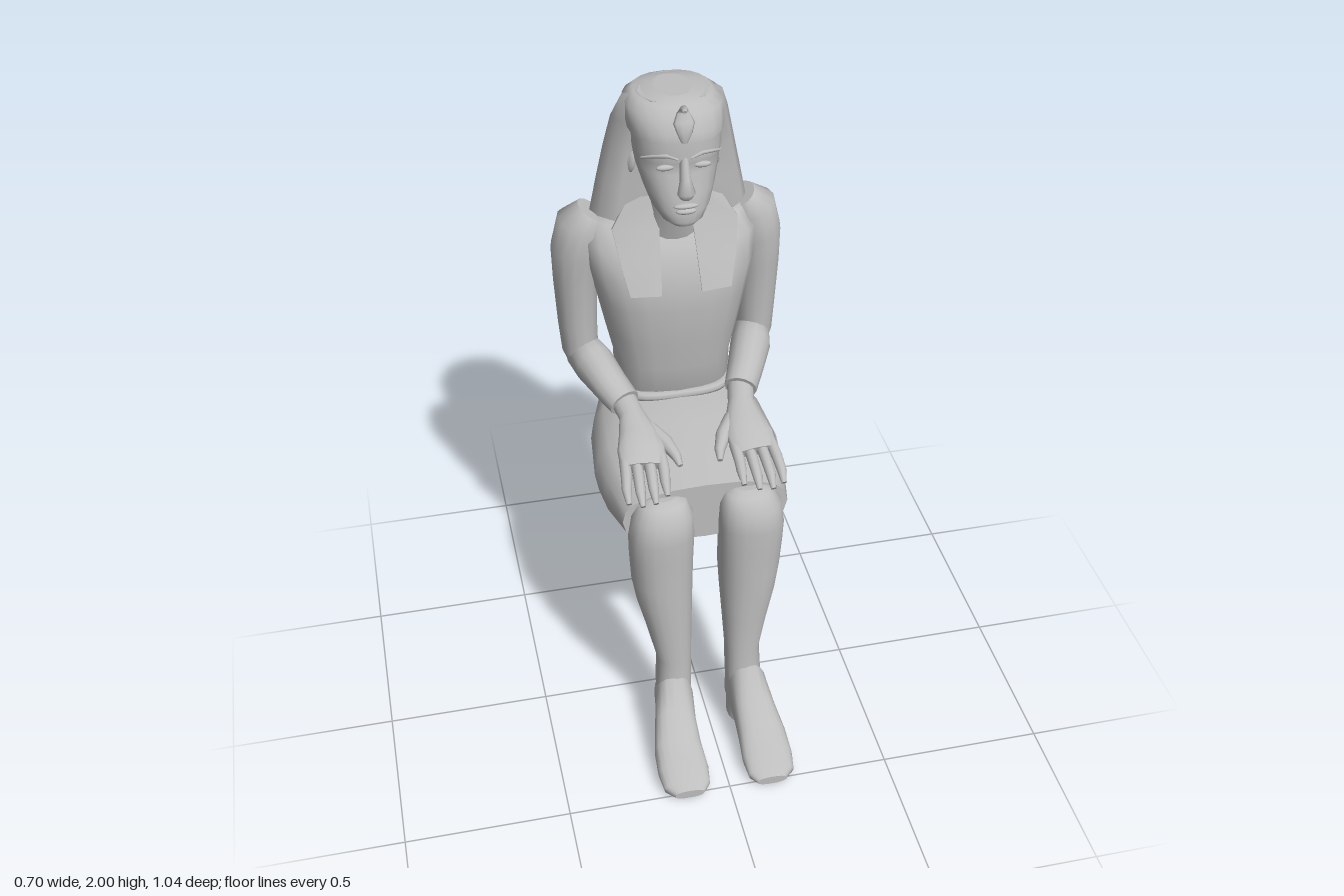
import * as THREE from 'three';

const stone = new THREE.MeshStandardMaterial({ color: 0xbdbdbd, side: THREE.DoubleSide });
stone.name = 'grey stone';

const V = (x, y, z) => new THREE.Vector3(x, y, z);
const spow = (v, e) => Math.sign(v) * Math.abs(v) ** e;

// Skin a list of rings and close both ends, always facing outwards
function loft(name, rings) {
  const n = rings[0].length, pos = [], idx = [];
  rings.forEach(r => r.forEach(p => pos.push(p.x, p.y, p.z)));
  for (let i = 0; i < rings.length - 1; i++)
    for (let j = 0; j < n; j++) {
      const a = i * n + j, b = i * n + (j + 1) % n;
      idx.push(a, b, b + n, a, b + n, a + n);
    }
  [rings[0], rings[rings.length - 1]].forEach((r, k) => {
    const base = pos.length / 3, c = V(0, 0, 0);
    r.forEach(p => { pos.push(p.x, p.y, p.z); c.addScaledVector(p, 1 / n); });
    pos.push(c.x, c.y, c.z);
    for (let j = 0; j < n; j++) {
      const a = base + j, b = base + (j + 1) % n;
      if (k) idx.push(a, b, base + n); else idx.push(b, a, base + n);
    }
  });
  const at = i => V(pos[3 * i], pos[3 * i + 1], pos[3 * i + 2]);
  let volume = 0;
  for (let i = 0; i < idx.length; i += 3) volume += at(idx[i]).dot(at(idx[i + 1]).cross(at(idx[i + 2])));
  if (volume < 0) idx.reverse();
  const g = new THREE.BufferGeometry();
  g.setAttribute('position', new THREE.Float32BufferAttribute(pos, 3));
  g.setIndex(idx);
  g.computeVertexNormals();
  const mesh = new THREE.Mesh(g, stone);
  mesh.name = name;
  return mesh;
}

// Rounded ring spanning a0..a1 by b0..b1, handed to a placing function
function ring(a0, a1, b0, b1, place, e = 0.85, n = 20) {
  return Array.from({ length: n }, (_, i) => {
    const t = i / n * Math.PI * 2;
    return place((a0 + a1) / 2 + (a1 - a0) / 2 * spow(Math.cos(t), e),
      (b0 + b1) / 2 + (b1 - b0) / 2 * spow(Math.sin(t), e));
  });
}
// rows: [y, x0, x1, z0, z1]
const upright = (name, rows, s = 1, e) => loft(name, rows.map(([y, x0, x1, z0, z1]) =>
  ring(x0, x1, z0, z1, (x, z) => V(s * x, y, z), e)));
// rows: [z, x0, x1, y0, y1]
const forward = (name, rows, s = 1, e) => loft(name, rows.map(([z, x0, x1, y0, y1]) =>
  ring(x0, x1, y0, y1, (x, y) => V(s * x, y, z), e)));
// rows: [x, y, z, radius across, radius in depth]
function limb(name, rows, s = 1, n = 14) {
  const p = rows.map(r => V(s * r[0], r[1], r[2]));
  return loft(name, rows.map((r, i) => {
    const t = p[Math.min(i + 1, p.length - 1)].clone().sub(p[Math.max(i - 1, 0)]).normalize();
    const v = t.clone().cross(V(1, 0, 0)).normalize(), u = v.clone().cross(t);
    return ring(-r[3], r[3], -r[4], r[4], (a, b) => p[i].clone().addScaledVector(u, a).addScaledVector(v, b), 1, n);
  }));
}
function blob(name, x, y, z, rx, ry, rz) {
  const m = new THREE.Mesh(new THREE.SphereGeometry(1, 14, 10), stone);
  m.name = name;
  m.position.set(x, y, z);
  m.scale.set(rx, ry, rz);
  return m;
}
const sym = ([y, w, zf, zb]) => [y, -w, w, zb, zf];

function createModel() {
  const statue = new THREE.Group();
  statue.name = 'seatedStatue';
  const add = (...m) => statue.add(...m);

  // Body, with a shallow groove down the spine
  const torso = upright('torso', [
    [0.84, 0.15, -0.3, -0.46], [0.98, 0.175, -0.22, -0.485], [1.1, 0.178, -0.205, -0.495],
    [1.2, 0.2, -0.19, -0.505], [1.32, 0.225, -0.18, -0.515], [1.42, 0.25, -0.185, -0.523],
    [1.51, 0.26, -0.22, -0.51], [1.565, 0.23, -0.27, -0.485], [1.59, 0.12, -0.3, -0.45]].map(sym), 1, 0.75);
  const tp = torso.geometry.attributes.position;
  for (let i = 0; i < tp.count; i++)
    if (tp.getZ(i) < -0.4 && Math.abs(tp.getX(i)) < 0.04) tp.setZ(i, tp.getZ(i) + 0.02);
  torso.geometry.computeVertexNormals();
  add(torso);

  // Kilt over lap and seat
  add(forward('kilt', [
    [-0.485, 0.1, 0.77, 0.87], [-0.465, 0.17, 0.735, 0.95], [-0.42, 0.22, 0.705, 0.99],
    [-0.27, 0.272, 0.66, 1.0], [-0.1, 0.29, 0.66, 0.975], [0.0, 0.28, 0.675, 0.955],
    [0.15, 0.25, 0.73, 0.925]].map(([z, w, b, t]) => [z, -w, w, b, t]), 1, 0.8));
  // Waistband, sagging in two folds at the back
  const band = new THREE.CatmullRomCurve3([[0, 0.995, -0.22], [0.13, 0.995, -0.24], [0.19, 0.99, -0.35],
    [0.175, 0.94, -0.45], [0.1, 0.86, -0.485], [0, 0.9, -0.485], [-0.1, 0.86, -0.485], [-0.175, 0.94, -0.45],
    [-0.19, 0.99, -0.35], [-0.13, 0.995, -0.24]].map(p => V(...p)), true);
  const belt = new THREE.Mesh(new THREE.TubeGeometry(band, 60, 0.016, 8, true), stone);
  belt.name = 'waistband';
  add(belt);

  // Neck and face
  add(upright('neck', [[1.53, 0.1, -0.24, -0.42], [1.62, 0.075, -0.215, -0.38], [1.72, 0.075, -0.19, -0.38]].map(sym), 1, 1));
  add(upright('face', [
    [1.645, 0.035, -0.115, -0.19], [1.66, 0.06, -0.106, -0.23], [1.69, 0.082, -0.108, -0.28],
    [1.74, 0.1, -0.114, -0.32], [1.8, 0.117, -0.13, -0.35], [1.83, 0.122, -0.132, -0.36],
    [1.85, 0.125, -0.124, -0.36], [1.93, 0.128, -0.135, -0.36]].map(sym), 1, 0.88));
  add(limb('nose', [[0, 1.85, -0.135, 0.012, 0.012], [0, 1.79, -0.118, 0.016, 0.02],
    [0, 1.755, -0.105, 0.026, 0.024], [0, 1.742, -0.112, 0.02, 0.016]], 1, 10));
  add(blob('upperLip', 0, 1.713, -0.11, 0.036, 0.008, 0.012), blob('lowerLip', 0, 1.697, -0.109, 0.03, 0.009, 0.012));

  // Headdress: cloth flaring down behind the ears
  const outline = [[0, 1], [0.33, 0.96], [0.62, 0.82], [0.86, 0.62], [1, 0.4], [0.92, 0.2], [0.72, 0]];
  const full = [...outline, ...outline.slice(1).reverse().map(([x, d]) => [-x, d])];
  add(loft('headdressCloth', [
    [1.59, 0.233, -0.275, -0.495, 0.06], [1.7, 0.211, -0.27, -0.485, 0.03], [1.8, 0.19, -0.265, -0.472, 0],
    [1.9, 0.168, -0.25, -0.452, 0], [1.965, 0.145, -0.22, -0.425, 0], [1.988, 0.1, -0.21, -0.39, 0]]
    .map(([y, w, zf, zb, drop]) => full.map(([x, d]) => V(x * w, y - drop * Math.max(0, d - 0.4), zf + (zb - zf) * d)))));
  add(upright('headdressCap', [[1.895, 0.134, -0.125, -0.4], [1.92, 0.137, -0.128, -0.41],
    [1.965, 0.138, -0.15, -0.42], [1.985, 0.11, -0.175, -0.4], [1.993, 0.05, -0.22, -0.36]].map(sym), 1, 0.85));
  // Rearing brow ornament
  add(limb('browOrnament', [[0, 1.9, -0.126, 0.01, 0.008], [0, 1.93, -0.124, 0.022, 0.01],
    [0, 1.955, -0.132, 0.03, 0.009], [0, 1.98, -0.145, 0.018, 0.008], [0, 1.997, -0.135, 0.01, 0.008],
    [0, 1.992, -0.12, 0.006, 0.005]], 1, 10));

  for (const s of [1, -1]) {
    const side = s > 0 ? 'left' : 'right';
    // Face details
    add(blob(side + 'Eye', s * 0.052, 1.822, -0.139, 0.026, 0.009, 0.01));
    add(limb(side + 'Brow', [[0.018, 1.85, -0.127, 0.004, 0.004], [0.05, 1.862, -0.13, 0.006, 0.006],
      [0.085, 1.856, -0.146, 0.005, 0.005], [0.112, 1.842, -0.175, 0.003, 0.003]], s, 8));
    const ear = blob(side + 'Ear', s * 0.128, 1.8, -0.285, 0.014, 0.055, 0.03);
    ear.rotation.set(-0.2, s * -0.5, 0);
    add(ear);

    // Headdress lappet lying on the chest
    add(loft(side + 'Lappet', [[1.665, 0.06, 0.13, -0.265], [1.575, 0.05, 0.185, -0.245],
      [1.48, 0.055, 0.17, -0.2], [1.39, 0.06, 0.15, -0.165]].map(([y, a, b, z]) =>
      [V(s * a, y, z), V(s * b, y, z - 0.012), V(s * b, y, z - 0.022), V(s * a, y, z - 0.01)])));

    // Arm, bent at the elbow
    add(limb(side + 'UpperArm', [[0.225, 1.575, -0.385, 0.045, 0.06], [0.25, 1.535, -0.385, 0.08, 0.085],
      [0.272, 1.45, -0.39, 0.078, 0.085], [0.28, 1.35, -0.39, 0.067, 0.076], [0.279, 1.2, -0.394, 0.06, 0.068],
      [0.275, 1.1, -0.39, 0.056, 0.066], [0.268, 1.045, -0.375, 0.04, 0.05]], s));
    add(limb(side + 'Forearm', [[0.272, 1.085, -0.43, 0.03, 0.03], [0.268, 1.085, -0.39, 0.056, 0.068],
      [0.245, 1.08, -0.31, 0.062, 0.07], [0.21, 1.05, -0.23, 0.055, 0.055], [0.18, 1.028, -0.165, 0.05, 0.046]], s));
    // Hand resting on the thigh
    add(limb(side + 'Hand', [[0.182, 1.03, -0.18, 0.04, 0.034], [0.168, 1.015, -0.11, 0.04, 0.032],
      [0.162, 1.0, -0.04, 0.06, 0.03], [0.165, 0.985, 0.02, 0.072, 0.028], [0.17, 0.965, 0.075, 0.068, 0.022]], s));
    [[0.112, 0.115, 0.155], [0.15, 0.155, 0.185], [0.187, 0.195, 0.19], [0.22, 0.232, 0.17]].forEach(([x0, x1, z], i) =>
      add(limb(side + 'Finger' + (i + 1), [[x0, 0.973, 0.04, 0.017, 0.018], [(x0 + x1) / 2, 0.96, 0.1, 0.017, 0.018],
        [x1, 0.935, z - 0.035, 0.015, 0.016], [x1, 0.91, z, 0.008, 0.009]], s, 10)));
    add(limb(side + 'Thumb', [[0.125, 1.0, -0.06, 0.022, 0.022], [0.087, 0.985, 0.0, 0.023, 0.022],
      [0.066, 0.965, 0.045, 0.016, 0.018], [0.06, 0.95, 0.075, 0.008, 0.009]], s, 10));

    // Lower leg from knee to heel
    add(upright(side + 'Leg', [
      [0.02, 0.06, 0.165, 0.14, 0.27], [0.1, 0.062, 0.165, 0.132, 0.26], [0.2, 0.056, 0.168, 0.135, 0.245],
      [0.3, 0.055, 0.163, 0.13, 0.24], [0.42, 0.05, 0.19, 0.09, 0.24], [0.52, 0.045, 0.215, 0.06, 0.24],
      [0.6, 0.042, 0.228, 0.042, 0.24], [0.7, 0.04, 0.234, 0.06, 0.238], [0.78, 0.038, 0.236, 0.07, 0.242],
      [0.85, 0.042, 0.225, 0.08, 0.235], [0.89, 0.06, 0.2, 0.09, 0.2], [0.9, 0.09, 0.17, 0.11, 0.17]], s, 0.9));
    // Foot
    add(forward(side + 'Foot', [
      [0.135, 0.08, 0.15, 0.015, 0.1], [0.16, 0.062, 0.168, 0.01, 0.2], [0.24, 0.058, 0.18, 0.012, 0.245],
      [0.3, 0.062, 0.195, 0.012, 0.165], [0.37, 0.06, 0.21, 0.008, 0.11], [0.44, 0.055, 0.213, 0.004, 0.078],
      [0.495, 0.062, 0.205, 0.002, 0.052], [0.52, 0.085, 0.175, 0.005, 0.035]], s, 0.8));
  }
  return statue;
}

export { createModel };
